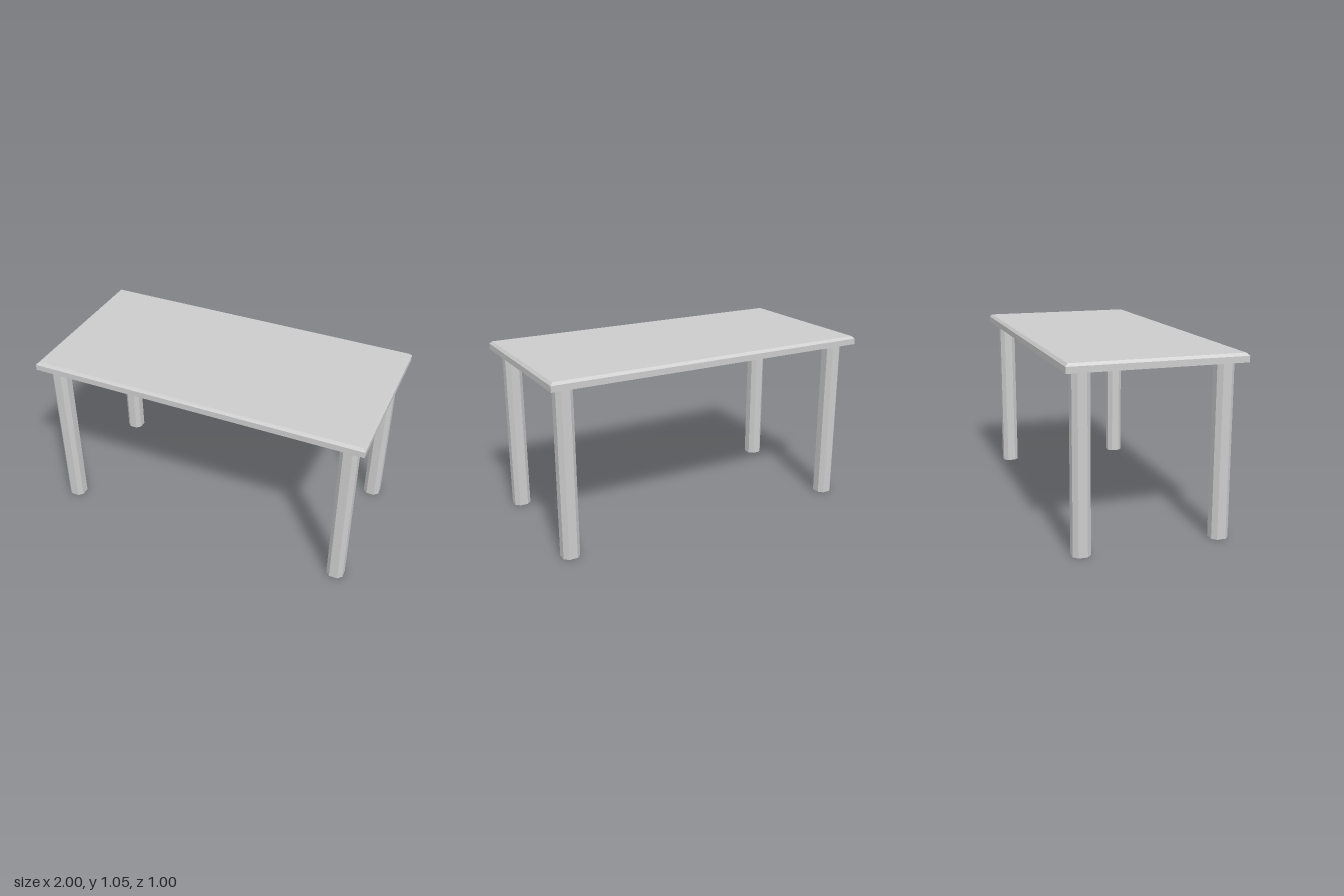
import * as THREE from 'three';

const LEG_HEIGHT = 1;
const TOP_THICKNESS = 0.05;
const BEVEL = 0.015;

// Slab whose upper edge is bevelled on all four sides
function bevelledTop(width, depth) {
  const geometry = new THREE.BoxGeometry(width, TOP_THICKNESS, depth, 1, 2, 1);
  const p = geometry.attributes.position;
  const half = TOP_THICKNESS / 2;
  for (let i = 0; i < p.count; i++) {
    if (Math.abs(p.getY(i)) < 1e-6) {
      p.setY(i, half - BEVEL);
    } else if (p.getY(i) > 0) {
      p.setX(i, p.getX(i) - Math.sign(p.getX(i)) * BEVEL);
      p.setZ(i, p.getZ(i) - Math.sign(p.getZ(i)) * BEVEL);
    }
  }
  const flat = geometry.toNonIndexed();
  flat.computeVertexNormals();
  return flat;
}

// Open square tube with chamfered corners: an octagon with uneven sides
function chamferedLeg(halfWidth, halfFlat) {
  const geometry = new THREE.CylinderGeometry(1, 1, LEG_HEIGHT, 8, 1, true, Math.PI / 8);
  const p = geometry.attributes.position;
  for (let i = 0; i < p.count; i++) {
    const x = p.getX(i), z = p.getZ(i);
    const wide = Math.abs(x) > Math.abs(z);
    p.setX(i, Math.sign(x) * (wide ? halfWidth : halfFlat));
    p.setZ(i, Math.sign(z) * (wide ? halfFlat : halfWidth));
  }
  const flat = geometry.toNonIndexed();
  flat.computeVertexNormals();
  return flat;
}

export function createModel() {
  const table = new THREE.Group();
  table.name = 'table';
  const solid = new THREE.MeshStandardMaterial({ color: 0xcccccc, flatShading: true });
  const open = new THREE.MeshStandardMaterial({
    color: 0xcccccc, flatShading: true, side: THREE.DoubleSide,
  });

  // Tabletop
  const top = new THREE.Mesh(bevelledTop(2, 1), solid);
  top.name = 'tabletop';
  top.position.y = LEG_HEIGHT + TOP_THICKNESS / 2;
  table.add(top);

  // Four hollow legs, one near each corner
  const legGeometry = chamferedLeg(0.05, 0.025);
  for (const [side, x] of [['Left', 0.9], ['Right', -0.9]]) {
    for (const [end, z] of [['front', 0.4], ['back', -0.4]]) {
      const leg = new THREE.Mesh(legGeometry, open);
      leg.name = `${end}${side}Leg`;
      leg.position.set(x, LEG_HEIGHT / 2, z);
      table.add(leg);
    }
  }
  return table;
}
